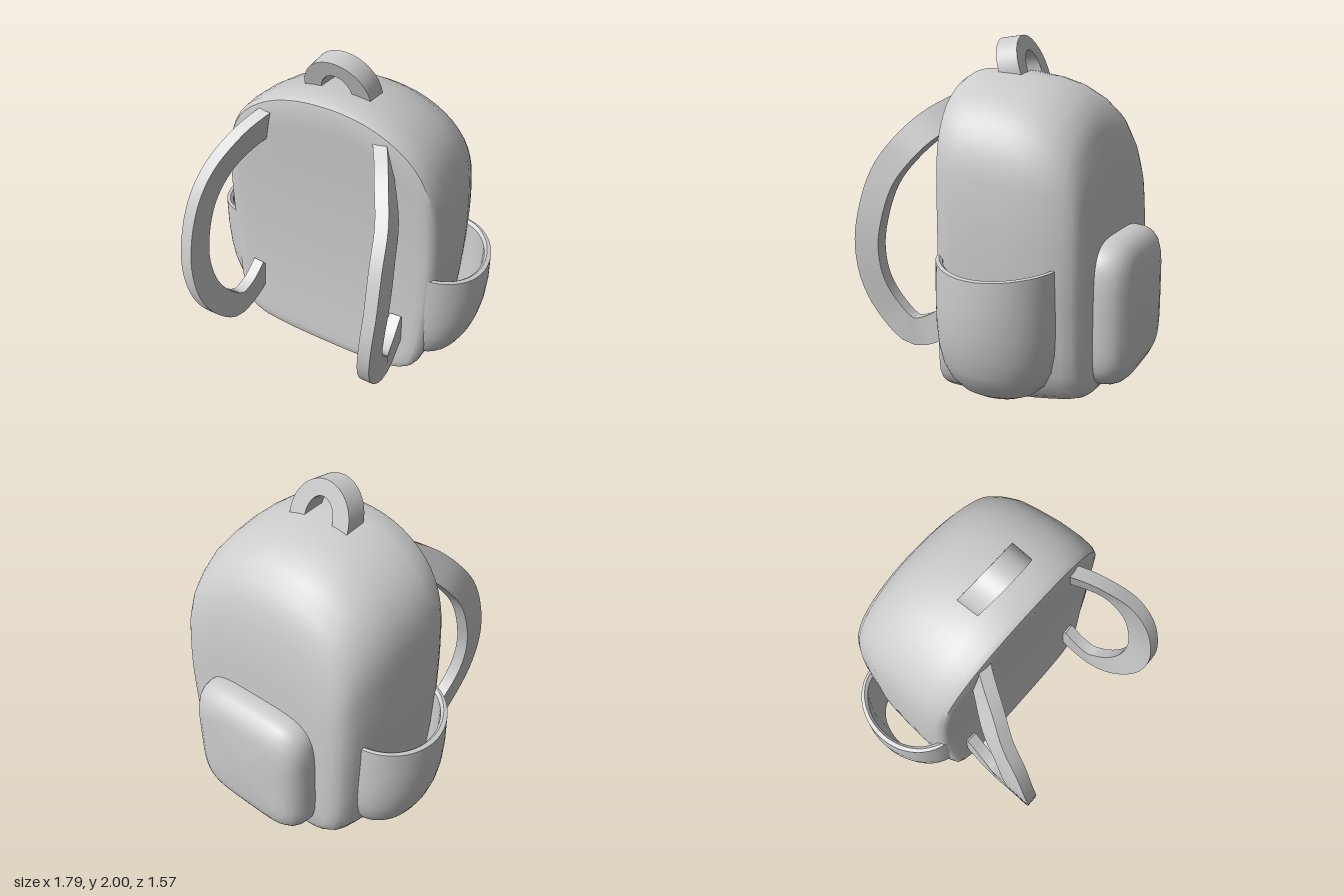
import * as THREE from 'three';
import { toCreasedNormals } from 'three/addons/utils/BufferGeometryUtils.js';

const V = (x, y, z) => new THREE.Vector3(x, y, z);
const fabric = new THREE.MeshStandardMaterial({ color: 0xcccccc });
fabric.name = 'grey fabric';

// Skin over rows of points; closed rows wrap round into rings
function skin(rows, closed, crease = 0.75) {
  const n = rows[0].length, index = [];
  for (let r = 0; r < rows.length - 1; r++) {
    for (let i = 0; i < (closed ? n : n - 1); i++) {
      const a = r * n + i, b = r * n + (i + 1) % n;
      index.push(a, a + n, b, b, a + n, b + n);
    }
  }
  const geo = new THREE.BufferGeometry().setFromPoints(rows.flat());
  geo.setIndex(index);
  return toCreasedNormals(geo, crease);
}

// Mirrored in x, with rows reversed to keep faces outward
const mirrorRows = rows => rows.map(row => row.map(p => V(-p.x, p.y, p.z))).reverse();

function bodyRows() {
  const half = [[0, 0], [0.35, 0.01], [0.53, 0.04], [0.63, 0.11], [0.67, 0.25], [0.69, 0.5], [0.7, 0.85],
    [0.69, 1.15], [0.66, 1.38], [0.6, 1.53], [0.5, 1.65], [0.33, 1.755], [0.15, 1.805], [0, 1.815]];
  const left = half.slice(1, -1).reverse().map(([x, y]) => [-x, y]);
  const curve = new THREE.CatmullRomCurve3([...half, ...left].map(([x, y]) => V(x, y, 0)), true);
  const outline = curve.getSpacedPoints(80).slice(0, 80);
  const mid = 0.6;
  // z, half width, top, bottom
  const panel = [0, 0.2, 0.45, 0.7, 0.86].map(s => [0.205, 0.7 * s, mid + 1.215 * s, mid - mid * s]);
  const shell = [[0.2, 0.645, 1.745, 0.045], [0.185, 0.675, 1.795, 0.015], [0.15, 0.69, 1.812, 0],
    [0.08, 0.7, 1.812, 0], [-0.05, 0.7, 1.8, 0.005], [-0.2, 0.69, 1.77, 0.01], [-0.32, 0.68, 1.73, 0.015],
    [-0.42, 0.655, 1.67, 0.02], [-0.5, 0.63, 1.595, 0.025], [-0.55, 0.605, 1.49, 0.035],
    [-0.58, 0.575, 1.37, 0.05], [-0.6, 0.53, 1.19, 0.08], [-0.605, 0.45, 1.0, 0.16], [-0.607, 0, mid, mid]];
  return [...panel, ...shell].map(([z, w, top, bottom]) => outline.map(p => {
    const y = p.y > mid ? mid + (p.y - mid) * (top - mid) / 1.215 : mid + (p.y - mid) * (mid - bottom) / mid;
    const bend = z > 0.1 ? 0.05 * ((y - 0.85) / 0.9) ** 2 : 0;
    return V(p.x * w / 0.7, y, z + bend);
  }));
}

// Rounded square pocket on the back
function backPocketRows() {
  const sections = [[-0.55, 0.415, 0.41], [-0.62, 0.42, 0.415], [-0.67, 0.412, 0.41], [-0.71, 0.395, 0.395],
    [-0.745, 0.365, 0.365], [-0.768, 0.32, 0.32], [-0.778, 0.26, 0.26], [-0.78, 0, 0]];
  const bulge = v => Math.sign(v) * Math.abs(v) ** 0.45;
  return sections.map(([z, w, h]) => Array.from({ length: 64 }, (_, i) => {
    const a = i / 64 * Math.PI * 2;
    return V(w * bulge(Math.cos(a)), 0.495 + h * bulge(Math.sin(a)), z);
  }));
}

// Open bottle pocket: up the lining, over the rim, down the outside
function sidePocketRows() {
  // y, depth outward, half length
  const levels = [[0.3, 0.2, 0.27], [0.55, 0.25, 0.3], [0.77, 0.25, 0.305], [0.785, 0.265, 0.325],
    [0.78, 0.29, 0.34], [0.62, 0.296, 0.342], [0.48, 0.288, 0.342], [0.36, 0.268, 0.335], [0.26, 0.238, 0.315],
    [0.18, 0.2, 0.275], [0.125, 0.15, 0.215], [0.095, 0.1, 0.15], [0.085, 0, 0.1]];
  return levels.map(([y, depth, length]) => Array.from({ length: 33 }, (_, i) => {
    const a = i / 32 * Math.PI, c = Math.cos(a);
    const lift = y > 0.7 ? (c > 0 ? 0.055 : 0.03) * c * c : 0;
    return V(0.6 + depth * Math.sin(a), y + lift, -0.14 + length * c);
  }));
}

// Flat webbing swept along a loop, its width lying in the yz plane
function strapRows() {
  const path = new THREE.CatmullRomCurve3([[0.34, 1.61, 0.18], [0.44, 1.51, 0.34], [0.52, 1.38, 0.47],
    [0.56, 1.22, 0.59], [0.58, 1, 0.67], [0.575, 0.8, 0.705], [0.555, 0.6, 0.68], [0.53, 0.43, 0.585],
    [0.515, 0.322, 0.45], [0.5, 0.36, 0.3], [0.49, 0.45, 0.18]].map(p => V(...p)));
  const steps = 40, rows = [];
  for (let i = 0; i <= steps; i++) {
    const p = path.getPointAt(i / steps), t = path.getTangentAt(i / steps);
    const n = V(0, -t.z, t.y).normalize(), b = t.clone().cross(n);
    const ring = [[1, 1], [1, -1], [-1, -1], [-1, 1]].map(([u, v]) =>
      p.clone().addScaledVector(n, 0.082 * u).addScaledVector(b, 0.036 * v));
    const cap = Array.from({ length: 4 }, () => p.clone());
    if (i === 0) rows.push(cap);
    rows.push(ring);
    if (i === steps) rows.push(cap);
  }
  return rows;
}

// Arched grab handle, leaning forward
function handleGeometry() {
  const shape = new THREE.Shape();
  shape.moveTo(0.2, 1.74).lineTo(0.2, 1.79);
  shape.absellipse(0, 1.79, 0.2, 0.21, 0, Math.PI, false);
  shape.lineTo(-0.2, 1.74).lineTo(-0.095, 1.74).lineTo(-0.095, 1.79);
  shape.absellipse(0, 1.79, 0.095, 0.125, Math.PI, 0, true);
  shape.lineTo(0.095, 1.74);
  const geo = new THREE.ExtrudeGeometry(shape, { depth: 0.13, bevelEnabled: false, curveSegments: 16 });
  const pos = geo.attributes.position;
  for (let i = 0; i < pos.count; i++) {
    const y = pos.getY(i), z = pos.getZ(i);
    pos.setY(i, y - 0.1 * z);
    pos.setZ(i, z - 0.075 + (y - 1.79) * 0.33);
  }
  return toCreasedNormals(geo, 0.6);
}

export function createModel() {
  const group = new THREE.Group();
  group.name = 'backpack';
  const add = (name, geo) => {
    const mesh = new THREE.Mesh(geo, fabric);
    mesh.name = name;
    group.add(mesh);
  };
  add('body', skin(bodyRows(), true));
  add('backPocket', skin(backPocketRows(), true));
  add('topHandle', handleGeometry());
  for (const [name, rows, closed] of [['SidePocket', sidePocketRows(), false], ['ShoulderStrap', strapRows(), true]]) {
    add('left' + name, skin(rows, closed));
    add('right' + name, skin(mirrorRows(rows), closed));
  }
  return group;
}
